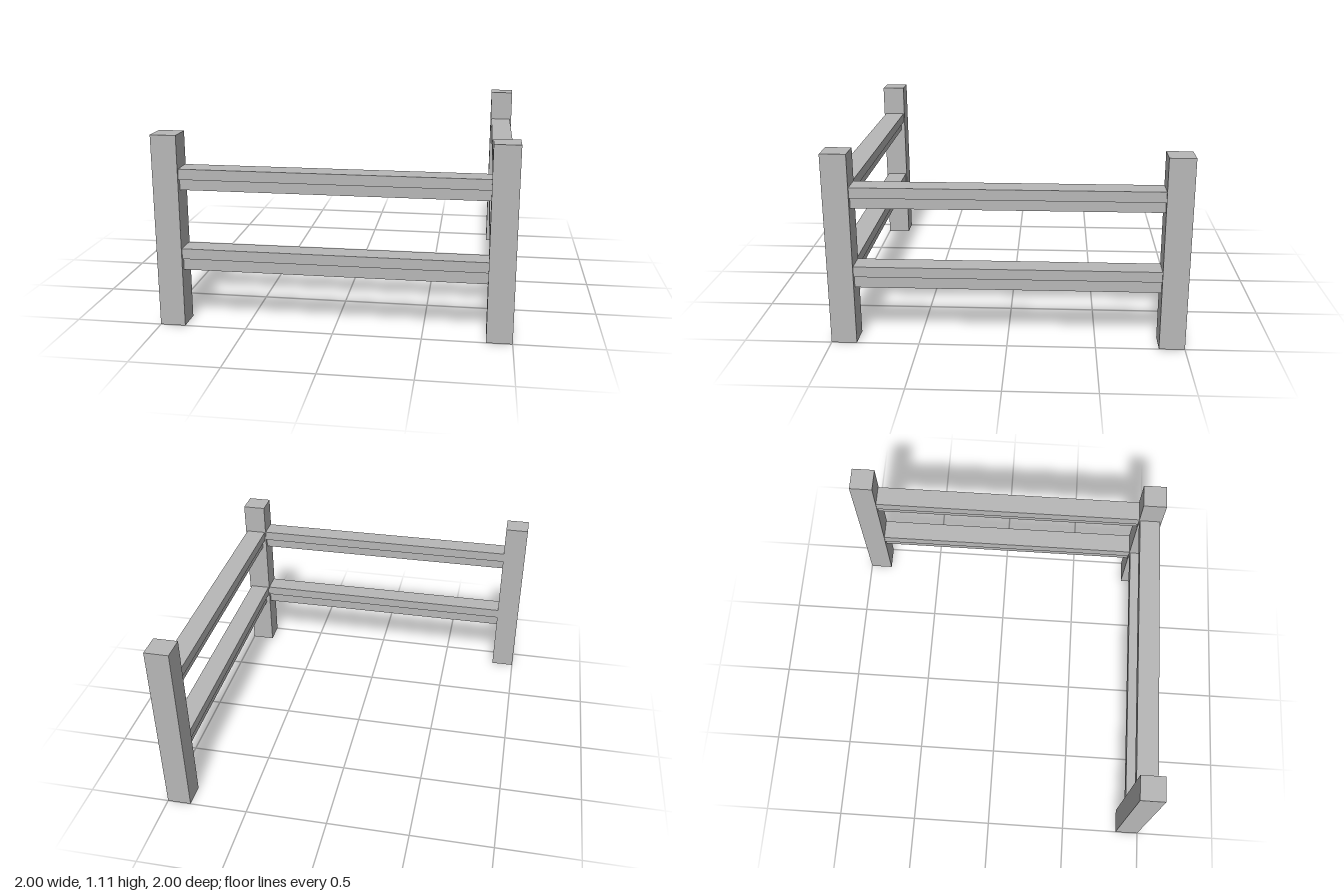
import * as THREE from 'three';

const POST = 0.145;          // post thickness
const HEIGHT = 1.11;         // post height
const C = 1 - POST / 2;      // post centre offset
const SPAN = 2 - 2 * POST;   // clear gap between posts

export function createModel() {
  const grey = new THREE.MeshStandardMaterial({ color: 0xb8b8b8 });
  grey.name = 'fenceGrey';
  const model = new THREE.Group();
  model.name = 'cornerFence';

  const box = (name, parent, w, h, d, x, y, z) => {
    const mesh = new THREE.Mesh(new THREE.BoxGeometry(w, h, d), grey);
    mesh.name = name;
    mesh.position.set(x, y, z);
    parent.add(mesh);
  };

  // Three square posts: two ends and the corner
  for (const [name, x, z] of [['rightPost', -C, C], ['cornerPost', C, C], ['backPost', C, -C]])
    box(name, model, POST, HEIGHT, POST, x, HEIGHT / 2, z);

  // Stepped rail along x: wide cap over a narrower beam
  const addRails = (name) => {
    const side = new THREE.Group();
    side.name = name;
    for (const [label, bottom, split, top] of [['lower', 0.33, 0.4, 0.46], ['upper', 0.797, 0.86, 0.92]]) {
      box(label + 'RailCap', side, SPAN, top - split, 0.128, 0, (top + split) / 2, 0);
      box(label + 'RailBeam', side, SPAN, split - bottom, 0.088, 0, (split + bottom) / 2, 0);
    }
    model.add(side);
    return side;
  };

  // Front run and the run along the model's left side
  addRails('frontRails').position.z = 0.925;
  const left = addRails('leftRails');
  left.rotation.y = Math.PI / 2;
  left.position.x = 0.925;

  return model;
}
